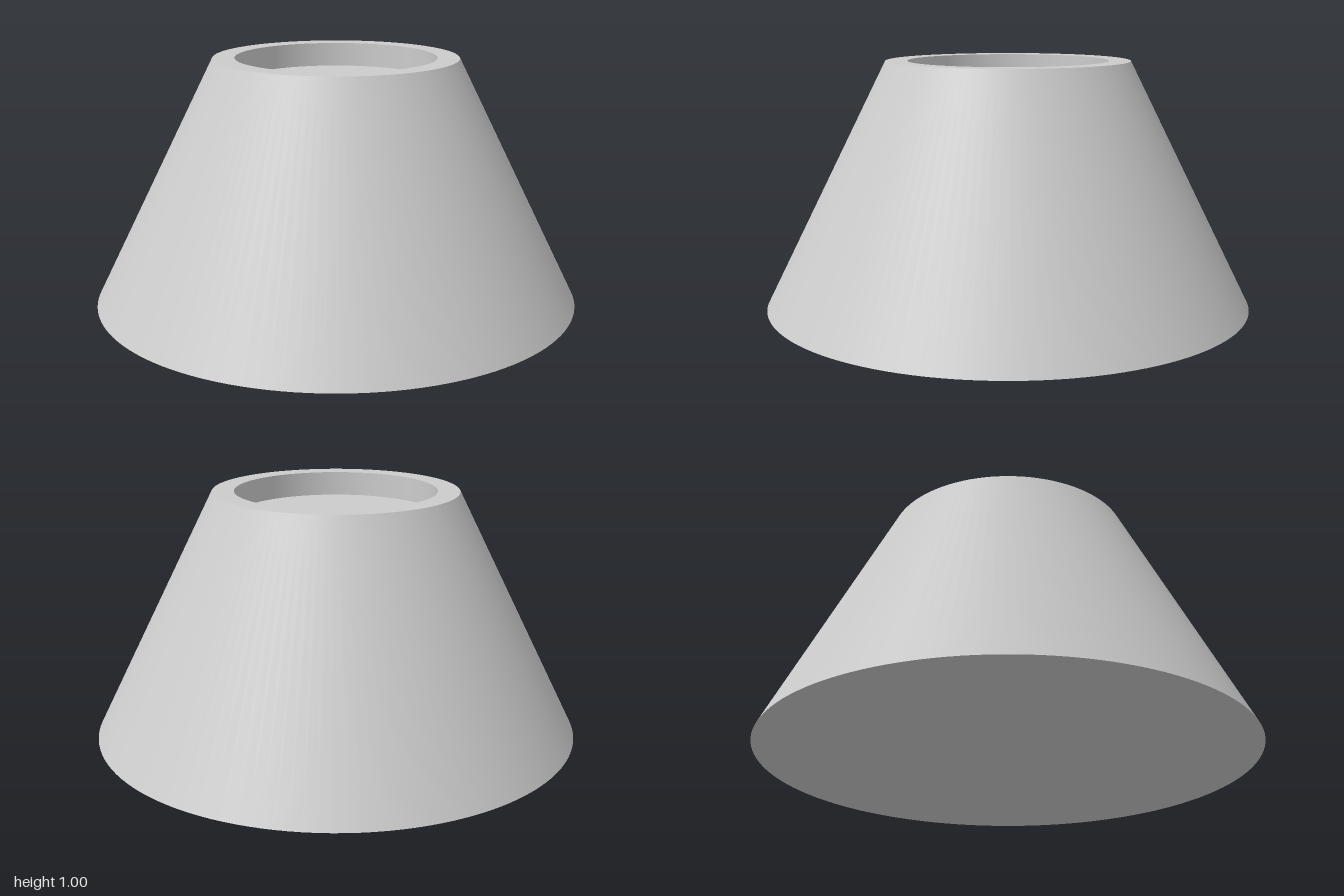
import * as THREE from 'three';

const SEGMENTS = 128;
const BASE_RADIUS = 1, TOP_RADIUS = 0.5, HEIGHT = 1;
const RECESS_RADIUS = 0.41, RECESS_DEPTH = 0.1;

export function createModel() {
  const group = new THREE.Group();
  group.name = 'taperedPedestal';
  const material = new THREE.MeshStandardMaterial({ color: 0xcccccc });
  const floorY = HEIGHT - RECESS_DEPTH;

  // Each band is its own lathe, so the edges between bands stay sharp
  const addBand = (name, r0, y0, r1, y1) => {
    const profile = [new THREE.Vector2(r0, y0), new THREE.Vector2(r1, y1)];
    const mesh = new THREE.Mesh(new THREE.LatheGeometry(profile, SEGMENTS), material);
    mesh.name = name;
    group.add(mesh);
  };

  // Closed underside and sloping outer wall
  addBand('base', 0, 0, BASE_RADIUS, 0);
  addBand('slopedWall', BASE_RADIUS, 0, TOP_RADIUS, HEIGHT);

  // Flat rim around a shallow round recess
  addBand('rim', TOP_RADIUS, HEIGHT, RECESS_RADIUS, HEIGHT);
  addBand('recessWall', RECESS_RADIUS, HEIGHT, RECESS_RADIUS, floorY);
  addBand('recessFloor', RECESS_RADIUS, floorY, 0, floorY);

  return group;
}
